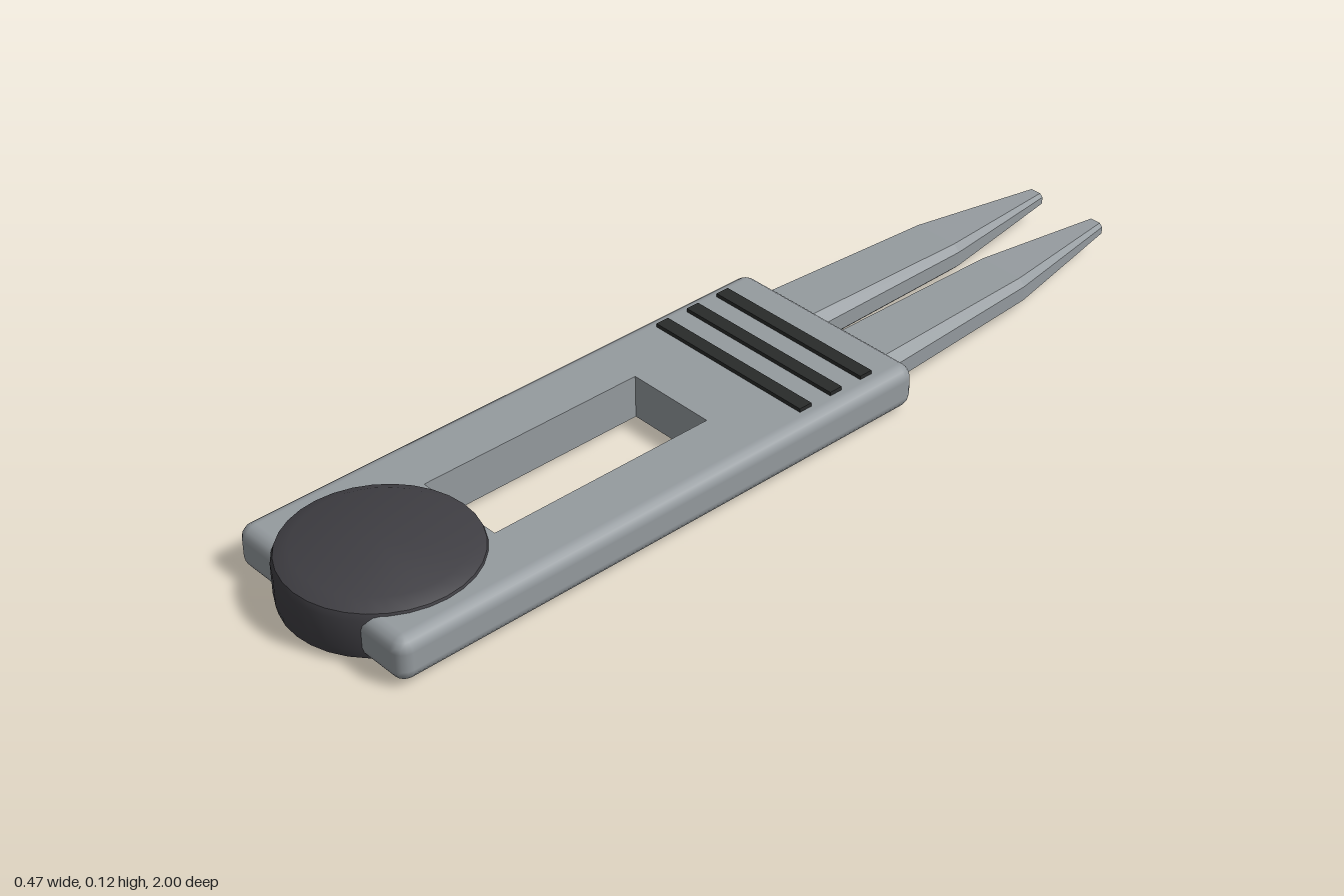
import * as THREE from 'three';
import { mergeVertices, toCreasedNormals } from 'three/addons/utils/BufferGeometryUtils.js';

const BODY = { halfW: 0.237, back: -0.3, front: 0.95, low: 0.01, high: 0.103, r: 0.028 };
const SLOT = { halfW: 0.1, back: 0.12, front: 0.63 };

// Rounded outer rim of the body, open at the top and bottom faces
function rimGeometry() {
  const { halfW, back, front, low, high, r } = BODY, n = 5;
  const pos = [], nor = [], idx = [];
  const cols = n * 4;
  for (let j = 0; j < n * 2; j++) {
    const upper = j >= n;
    const phi = ((j % n) / (n - 1) - (upper ? 0 : 1)) * Math.PI / 2;
    for (let c = 0; c < 4; c++) {
      const sx = c === 0 || c === 3 ? 1 : -1;
      const cz = c < 2 ? front - r : back + r;
      for (let k = 0; k < n; k++) {
        const a = (c + k / (n - 1)) * Math.PI / 2;
        const d = [Math.cos(a) * Math.cos(phi), Math.sin(phi), Math.sin(a) * Math.cos(phi)];
        nor.push(...d);
        pos.push(sx * (halfW - r) + r * d[0], (upper ? high - r : low + r) + r * d[1], cz + r * d[2]);
      }
    }
  }
  for (let j = 0; j < n * 2 - 1; j++) for (let i = 0; i < cols; i++) {
    const p = j * cols + i, q = j * cols + (i + 1) % cols;
    idx.push(p, p + cols, q, q, p + cols, q + cols);
  }
  const g = new THREE.BufferGeometry();
  g.setAttribute('position', new THREE.Float32BufferAttribute(pos, 3));
  g.setAttribute('normal', new THREE.Float32BufferAttribute(nor, 3));
  g.setIndex(idx);
  return g;
}

// Flat face with the slot cut out; side = 1 for the top, -1 for the underside
function faceGeometry(side) {
  const rect = (T, w, z0, z1) => {
    const s = new T();
    s.moveTo(-w, -side * z0).lineTo(w, -side * z0).lineTo(w, -side * z1).lineTo(-w, -side * z1).closePath();
    return s;
  };
  const shape = rect(THREE.Shape, BODY.halfW - BODY.r, BODY.back + BODY.r, BODY.front - BODY.r);
  shape.holes.push(rect(THREE.Path, SLOT.halfW, SLOT.back, SLOT.front));
  const g = new THREE.ShapeGeometry(shape);
  g.rotateX(-side * Math.PI / 2);
  g.translate(0, side > 0 ? BODY.high : BODY.low, 0);
  return g;
}

// Faceted loft through bevelled rectangles: [z, centre x, half width, low y, high y, bevel]
function prongGeometry(side) {
  const sections = [
    [-0.27, 0.1, 0.08, 0.015, 0.09, 0.02],
    [-0.7, 0.09, 0.065, 0.023, 0.083, 0.014],
    [-1, 0.083, 0.019, 0.04, 0.069, 0.007],
  ];
  const rings = sections.map(([z, cx, w, lo, hi, b]) => [
    [w, lo + b], [w, hi - b], [w - b, hi], [b - w, hi],
    [-w, hi - b], [-w, lo + b], [b - w, lo], [w - b, lo],
  ].map(([x, y]) => [side * cx + x, y, z]));
  const pos = [];
  const tri = (...points) => points.forEach(p => pos.push(...p));
  for (let s = 0; s < 2; s++) for (let i = 0; i < 8; i++) {
    const k = (i + 1) % 8, A = rings[s], B = rings[s + 1];
    tri(A[i], B[i], A[k]);
    tri(A[k], B[i], B[k]);
  }
  for (let i = 1; i < 7; i++) {
    tri(rings[0][0], rings[0][i], rings[0][i + 1]);
    tri(rings[2][0], rings[2][i + 1], rings[2][i]);
  }
  const g = new THREE.BufferGeometry();
  g.setAttribute('position', new THREE.Float32BufferAttribute(pos, 3));
  g.computeVertexNormals();
  return g;
}

export function createModel() {
  const material = (name, color) => new THREE.MeshStandardMaterial({ name, color });
  const metal = material('grey metal', 0x959b9f);
  const charcoal = material('charcoal', 0x3f3e43);
  const black = material('black rubber', 0x292b2a);

  const model = new THREE.Group();
  model.name = 'forkedTool';
  const add = (parent, name, geometry, mat, x = 0, y = 0, z = 0) => {
    const m = new THREE.Mesh(geometry, mat);
    m.name = name;
    m.position.set(x, y, z);
    parent.add(m);
    return m;
  };

  // Handle: rounded rim, two faces and the walls of the slot
  const body = new THREE.Group();
  body.name = 'body';
  model.add(body);
  add(body, 'bodyRim', rimGeometry(), metal);
  add(body, 'bodyTop', faceGeometry(1), metal);
  add(body, 'bodyUnderside', faceGeometry(-1), metal);
  const height = BODY.high - BODY.low, midY = (BODY.high + BODY.low) / 2;
  const length = SLOT.front - SLOT.back, midZ = (SLOT.front + SLOT.back) / 2;
  for (const s of [-1, 1]) {
    add(body, 'slotSide', new THREE.PlaneGeometry(length, height), metal, s * SLOT.halfW, midY, midZ)
      .rotation.y = -s * Math.PI / 2;
    add(body, 'slotEnd', new THREE.PlaneGeometry(SLOT.halfW * 2, height), metal, 0, midY, s > 0 ? SLOT.front : SLOT.back)
      .rotation.y = s > 0 ? Math.PI : 0;
  }

  // Two tapering prongs
  add(model, 'leftProng', prongGeometry(1), metal);
  add(model, 'rightProng', prongGeometry(-1), metal);

  // Round button with chamfered edges
  const profile = [[0, 0.001], [0.165, 0.001], [0.19, 0.013], [0.193, 0.03], [0.193, 0.095], [0.188, 0.108], [0.16, 0.121], [0, 0.121]]
    .map(([x, y]) => new THREE.Vector2(x, y));
  const button = new THREE.LatheGeometry(profile, 32);
  button.deleteAttribute('normal');
  button.deleteAttribute('uv');
  add(model, 'button', toCreasedNormals(mergeVertices(button), 0.45), charcoal, 0, 0, 0.807);

  // Grip stripes on both faces
  for (const z of [-0.2, -0.12, -0.04]) for (const y of [0.0065, 0.1065]) {
    add(model, 'gripStripe', new THREE.BoxGeometry(0.4, 0.009, 0.03), black, 0, y, z);
  }
  return model;
}
